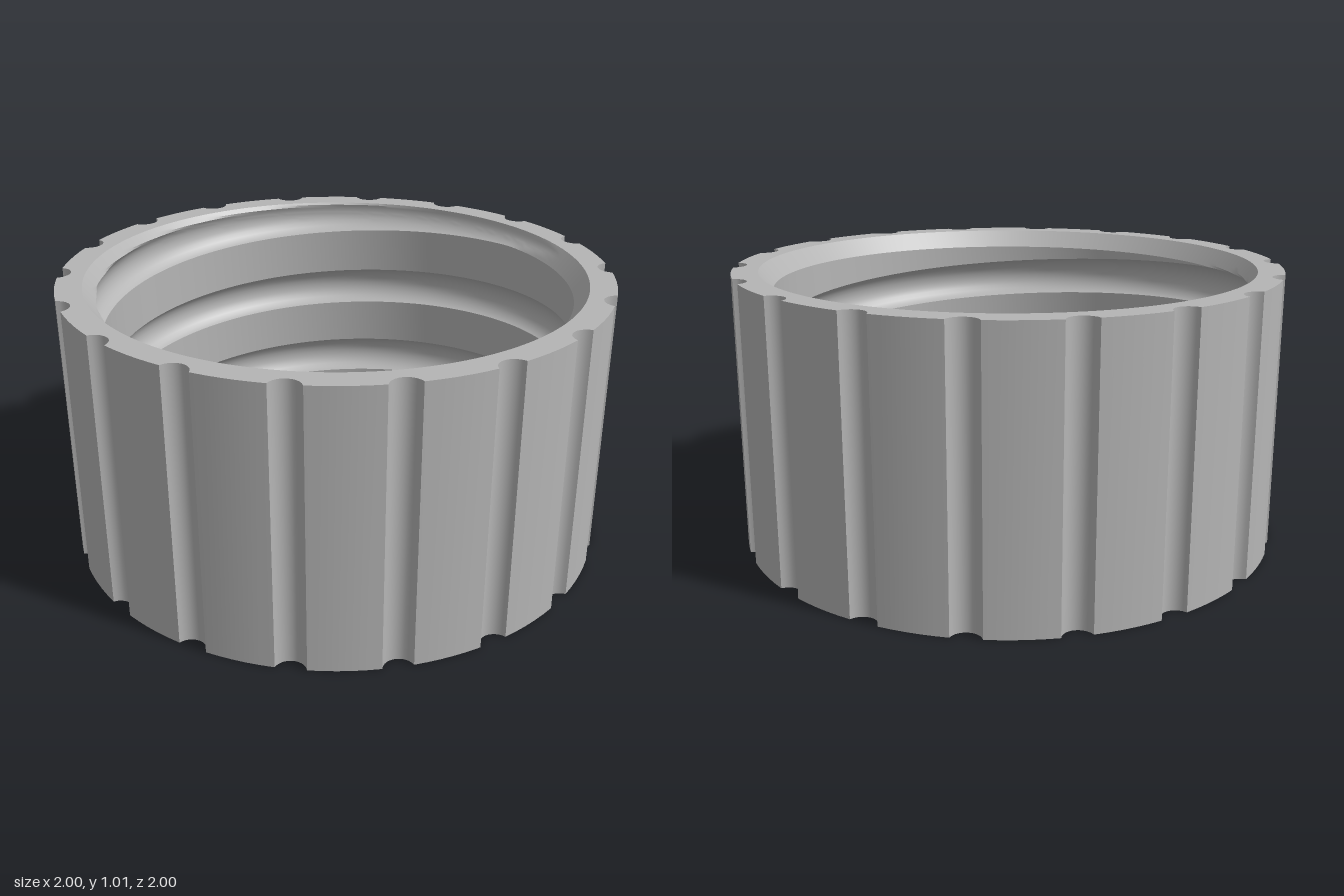
import * as THREE from 'three';
import { toCreasedNormals } from 'three/addons/utils/BufferGeometryUtils.js';

const HEIGHT = 1.01, FLOOR = 0.17, HOLE = 0.38;
const CREST = 0.855, MOUTH = 0.905;                 // inner wall and mouth radii
const PITCH = 0.33, HALF = 0.075, DEPTH = MOUTH - CREST;
const TAU = Math.PI * 2;

// Surface from rows x cols points; faces outward unless flipped
function grid(cols, rows, point, flip = false) {
  const pos = [], index = [];
  for (let i = 0; i <= cols; i++) {
    for (let j = 0; j <= rows; j++) pos.push(...point(i, j));
  }
  for (let i = 0; i < cols; i++) {
    for (let j = 0; j < rows; j++) {
      const a = i * (rows + 1) + j, b = a + rows + 1;
      if (flip) index.push(a, b + 1, b, a, a + 1, b + 1);
      else index.push(a, b, b + 1, a, b + 1, a + 1);
    }
  }
  const g = new THREE.BufferGeometry();
  g.setAttribute('position', new THREE.Float32BufferAttribute(pos, 3));
  g.setIndex(index);
  return toCreasedNormals(g, 0.5);
}

const polar = (r, t, y) => [r * Math.cos(t), y, -r * Math.sin(t)];

// Round outline with 18 scooped grip notches
function outlinePoints() {
  const pts = [], d = 1.013, r = 0.055, n = 18;
  const phi = Math.acos((d * d + r * r - 1) / (2 * d * r));
  const edge = Math.asin(r * Math.sin(phi));
  for (let k = 0; k < n; k++) {
    const a = (k / n) * TAU;
    for (let s = 0; s <= 10; s++) {
      const p = phi * (s / 5 - 1);
      const u = d - r * Math.cos(p), v = r * Math.sin(p);
      pts.push(new THREE.Vector2(u * Math.cos(a) - v * Math.sin(a), u * Math.sin(a) + v * Math.cos(a)));
    }
    for (let s = 1; s < 5; s++) {
      const t = a + edge + (TAU / n - 2 * edge) * (s / 5);
      pts.push(new THREE.Vector2(Math.cos(t), Math.sin(t)));
    }
  }
  return pts;
}

// Flat horizontal face with a round hole
function flatRing(shape, radius, y, up) {
  const hole = new THREE.Path();
  hole.absarc(0, 0, radius, 0, TAU, true);
  shape.holes.push(hole);
  const g = new THREE.ShapeGeometry(shape, 90);
  g.rotateX(up ? -Math.PI / 2 : Math.PI / 2);
  return g.translate(0, y, 0);
}

// Bore with a round-bottomed spiral groove and a chamfered mouth
function threadedBore() {
  const chamferY = HEIGHT - 0.065, arcR = (HALF * HALF + DEPTH * DEPTH) / (2 * DEPTH);
  const offsets = [FLOOR];
  const turns = [-3, -2, -1, 0, 1, 2], steps = 12, chamferRows = 8;
  const helixY = t => 0.945 - PITCH * (t / TAU - 0.375);
  const helixRows = turns.length * (steps + 1);
  const yAt = (t, j) => {
    if (j === 0) return offsets[0];
    if (j <= helixRows) {
      const k = turns[Math.floor((j - 1) / (steps + 1))], s = (j - 1) % (steps + 1);
      const y = helixY(t) + k * PITCH - HALF * Math.cos((s / steps) * Math.PI);
      return THREE.MathUtils.clamp(y, FLOOR, chamferY);
    }
    return chamferY + (HEIGHT - chamferY) * (j - helixRows - 1) / chamferRows;
  };
  const radius = (t, y) => {
    let dy = (y - helixY(t)) / PITCH;
    dy = (dy - Math.round(dy)) * PITCH;
    const groove = Math.abs(dy) < HALF ? CREST + DEPTH - arcR + Math.sqrt(arcR * arcR - dy * dy) : CREST;
    const chamfer = CREST + DEPTH * Math.max(0, (y - chamferY) / (HEIGHT - chamferY));
    return Math.max(CREST, groove, chamfer);
  };
  const cols = 180;
  return grid(cols, helixRows + 1 + chamferRows, (i, j) => {
    const t = (i / cols) * TAU, y = yAt(t, j);
    return polar(radius(t, y), t, y);
  }, true);
}

export function createModel() {
  const group = new THREE.Group();
  group.name = 'threadedCap';
  const grey = new THREE.MeshStandardMaterial({ color: 0xb5b5b5 });
  grey.name = 'grey';
  const add = (name, geometry) => {
    const mesh = new THREE.Mesh(geometry, grey);
    mesh.name = name;
    group.add(mesh);
  };

  const pts = outlinePoints();
  // Outer grip wall
  add('gripWall', grid(pts.length, 1, (i, j) => {
    const p = pts[i % pts.length];
    return [p.x, j * HEIGHT, -p.y];
  }));
  // Top rim and underside
  add('rim', flatRing(new THREE.Shape(pts), MOUTH, HEIGHT, true));
  add('underside', flatRing(new THREE.Shape(pts), HOLE, 0, false));
  // Inner floor
  const disc = new THREE.Shape();
  disc.absarc(0, 0, MOUTH, 0, TAU, false);
  add('innerFloor', flatRing(disc, HOLE, FLOOR, true));
  // Wall of the centre hole
  add('holeWall', grid(90, 1, (i, j) => polar(HOLE, (i / 90) * TAU, j * FLOOR), true));
  // Threaded inside
  add('threadedBore', threadedBore());
  return group;
}
